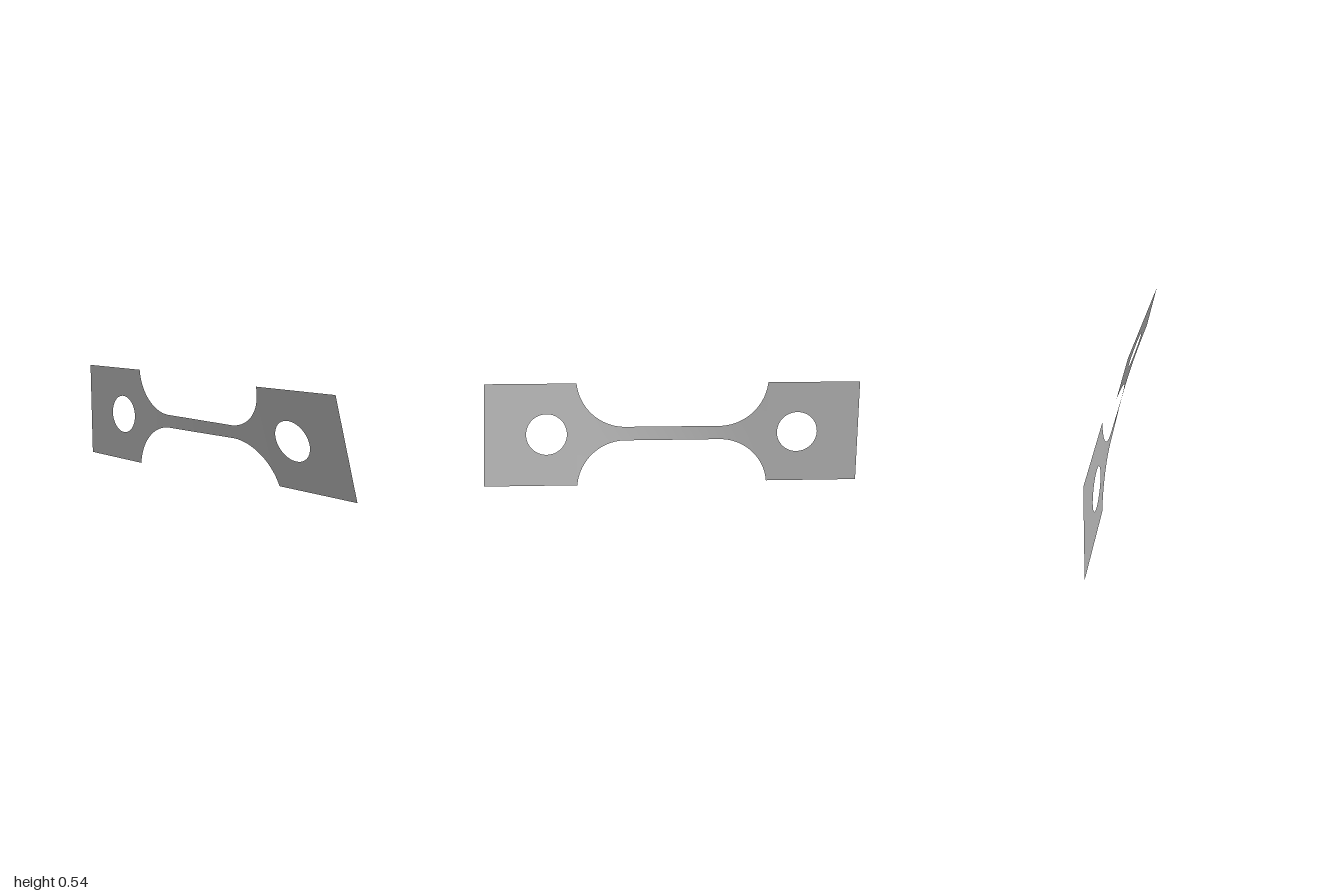
import * as THREE from 'three';

const HALF = 0.2715;      // half height of the end plates, also the height of the twist axis
const NECK = 0.036;       // half height of the narrow neck
const R = 0.26;           // fillet radius
const FILLET_X = 0.25;    // where the straight neck meets the fillets
const LEAN = [0.6, 18.8].map(THREE.MathUtils.degToRad); // tilt of the -x and +x plates

// Fillet angle at which the arc reaches the full plate height
const ARC = Math.acos((NECK + R - HALF) / R);
const EDGE = FILLET_X + R * Math.sin(ARC);

// Outline of the neck: pairs of x position and half height, from -x to +x
function neckStations() {
  const fillet = [];
  for (let i = 1; i <= 32; i++) {
    const a = (ARC * i) / 32;
    fillet.push([FILLET_X + R * Math.sin(a), NECK + R * (1 - Math.cos(a))]);
  }
  const stations = fillet.map(([x, h]) => [-x, h]).reverse();
  for (let i = 0; i <= 40; i++) stations.push([FILLET_X * (i / 20 - 1), NECK]);
  return stations.concat(fillet);
}

// Twisted strip; narrow sections take more of the twist than wide ones
function neckGeometry() {
  const stations = neckStations();
  const twist = [0];
  for (let i = 1; i < stations.length; i++) {
    const [x0, h0] = stations[i - 1], [x1, h1] = stations[i];
    twist.push(twist[i - 1] + (x1 - x0) * 2 / (h0 + h1));
  }
  const total = twist[twist.length - 1];
  const rows = 12;
  const geo = new THREE.PlaneGeometry(1, 1, stations.length - 1, rows);
  const pos = geo.attributes.position;
  for (let i = 0; i < pos.count; i++) {
    const s = i % stations.length;
    const [x, h] = stations[s];
    const v = pos.getY(i) * 2 * h;
    const a = THREE.MathUtils.lerp(LEAN[0], LEAN[1], twist[s] / total);
    pos.setXYZ(i, x, HALF + v * Math.cos(a), v * Math.sin(a));
  }
  geo.computeVertexNormals();
  return geo;
}

// Flat end plate with a round hole, tilted about the long axis
function plateGeometry(side, lean) {
  const shape = new THREE.Shape([
    new THREE.Vector2(side * EDGE, -HALF),
    new THREE.Vector2(side, -HALF),
    new THREE.Vector2(side, HALF),
    new THREE.Vector2(side * EDGE, HALF),
  ]);
  const hole = new THREE.Path();
  hole.absarc(side * 0.67, 0, 0.108, 0, Math.PI * 2, true);
  shape.holes.push(hole);
  return new THREE.ShapeGeometry(shape, 32).rotateX(lean).translate(0, HALF, 0);
}

export function createModel() {
  const group = new THREE.Group();
  group.name = 'twistedTestStrip';
  const metal = new THREE.MeshStandardMaterial({ color: 0xb4b4b4, side: THREE.DoubleSide });
  metal.name = 'grey metal';

  const add = (name, geometry) => {
    const mesh = new THREE.Mesh(geometry, metal);
    mesh.name = name;
    group.add(mesh);
  };
  add('rightPlate', plateGeometry(-1, LEAN[0]));
  add('twistedNeck', neckGeometry());
  add('leftPlate', plateGeometry(1, LEAN[1]));
  return group;
}
